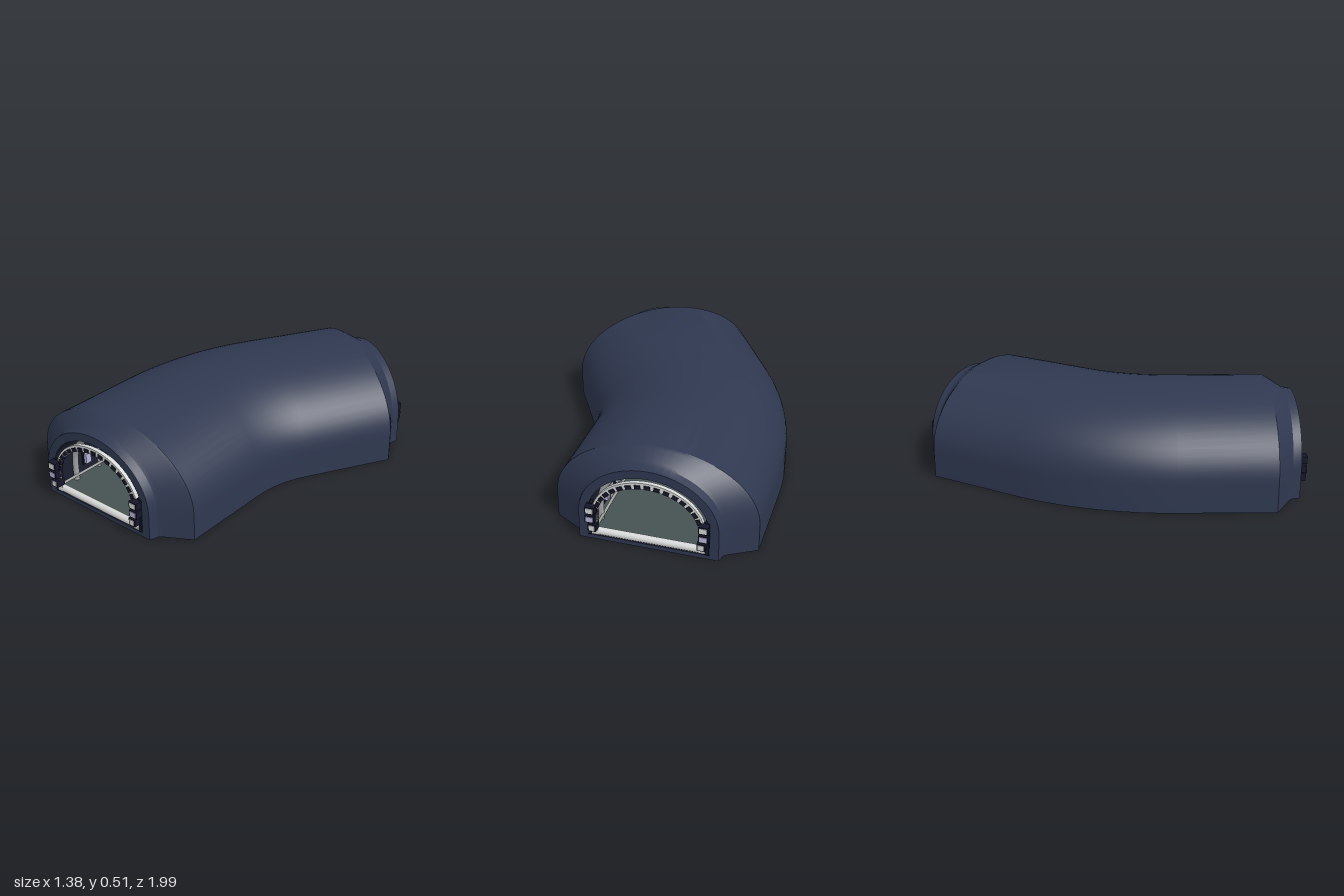
import * as THREE from 'three';
import { toCreasedNormals } from 'three/addons/utils/BufferGeometryUtils.js';

const mat = (name, color, side = THREE.FrontSide) => {
  const m = new THREE.MeshStandardMaterial({ color, side });
  m.name = name;
  return m;
};

// Centre line: straight, 30 degree bend, straight
const STRAIGHT = 0.64, RADIUS = 1.134, TURN = Math.PI / 6;
const BEND = RADIUS * TURN, TOTAL = 2 * STRAIGHT + BEND;
const X0 = -0.167, Z0 = 0.96;

function at(s) {
  const angle = TURN * Math.min(1, Math.max(0, (s - STRAIGHT) / BEND));
  const rest = Math.max(0, s - STRAIGHT - BEND);
  return {
    x: X0 + RADIUS * (1 - Math.cos(angle)) + rest * Math.sin(angle),
    z: Z0 - Math.min(s, STRAIGHT) - RADIUS * Math.sin(angle) - rest * Math.cos(angle),
    angle,
  };
}

const toWorld = (s, u, y) => {
  const p = at(s);
  return new THREE.Vector3(p.x + u * Math.cos(p.angle), y, p.z + u * Math.sin(p.angle));
};

// Arch section: upright sides below an elliptical top, from -x to +x
function arch(half, top, base = 0, spring = 0.15, n = 32) {
  const pts = [new THREE.Vector2(-half, base)];
  for (let i = 0; i <= n; i++) {
    const a = Math.PI * (1 - i / n);
    pts.push(new THREE.Vector2(half * Math.cos(a), spring + (top - spring) * Math.sin(a)));
  }
  pts.push(new THREE.Vector2(half, base));
  return pts;
}

// Skin over cross-sections [distance, points] along the centre line
function sweep(sections, flip = false) {
  const pos = [], idx = [], n = sections[0][1].length;
  sections.forEach(([s, pts], i) => {
    pts.forEach((p, j) => {
      pos.push(...toWorld(s, p.x, p.y).toArray());
      if (i === 0 || j === 0) return;
      const a = (i - 1) * n + j - 1, b = a + 1, c = a + n, d = c + 1;
      if (flip) idx.push(a, c, b, b, c, d);
      else idx.push(a, b, c, b, d, c);
    });
  });
  const g = new THREE.BufferGeometry();
  g.setAttribute('position', new THREE.Float32BufferAttribute(pos, 3));
  g.setIndex(idx);
  return toCreasedNormals(g, 0.45);
}

export function createModel() {
  const model = new THREE.Group();
  model.name = 'curvedTunnel';
  const shellMat = mat('navy shell', 0x2f3850);
  const liningMat = mat('dark lining', 0x1b2030);
  const frameMat = mat('pale frame', 0xd6d9d8);
  const ribMat = mat('grey metal', 0xa2a4a4);
  const blockMat = mat('near black', 0x15172a);
  const panelMat = mat('lavender panel', 0xbab6dc);
  const goldMat = mat('gold ring', 0x8c6a26);
  const floorMat = mat('grey green floor', 0x465252);

  const add = (parent, name, geometry, material, x = 0, y = 0, z = 0) => {
    const m = new THREE.Mesh(geometry, material);
    m.name = name;
    m.position.set(x, y, z);
    parent.add(m);
    return m;
  };

  // Outer shell with stepped, tapered ends
  const taper = [[0, 0.357, 0.45], [0.045, 0.37, 0.457], [0.06, 0.387, 0.467], [0.125, 0.502, 0.504], [0.14, 0.525, 0.51]];
  const stations = [...taper];
  const bendSteps = 24;
  for (let i = 0; i <= bendSteps; i++) stations.push([STRAIGHT + BEND * i / bendSteps, 0.525, 0.51]);
  [...taper].reverse().forEach(([s, w, h]) => stations.push([TOTAL - s, w, h]));
  add(model, 'outerShell', sweep(stations.map(([s, w, h]) => [s, arch(w, h)])), shellMat);

  const flat = (w, y) => [new THREE.Vector2(-w, y), new THREE.Vector2(w, y)];
  add(model, 'underside', sweep(stations.map(([s, w]) => [s, flat(w, 0)]), true), shellMat);

  // Inner lining and floor
  add(model, 'innerLining', sweep(stations.map(([s]) => [s, arch(0.31, 0.405, 0.02)]), true), liningMat);
  add(model, 'floor', sweep(stations.map(([s]) => [s, flat(0.31, 0.04)])), floorMat);

  // Low rails along both walls
  for (const side of [-1, 1]) {
    const pts = stations.map(([s]) => toWorld(s, side * 0.27, 0.07));
    const rail = new THREE.TubeGeometry(new THREE.CatmullRomCurve3(pts), 60, 0.008, 6);
    add(model, 'wallRail', rail, ribMat);
  }

  // Ribs with wall panels and rings between them
  const ribCurve = new THREE.CatmullRomCurve3(arch(0.283, 0.375, 0.04, 0.15, 20).map(p => new THREE.Vector3(p.x, p.y, 0)));
  const thinRib = new THREE.TubeGeometry(ribCurve, 40, 0.009, 8);
  const thickRib = new THREE.TubeGeometry(ribCurve, 40, 0.016, 8);
  const panel = new THREE.BoxGeometry(0.02, 0.055, 0.035);
  const bracket = new THREE.BoxGeometry(0.012, 0.09, 0.045);
  const ring = new THREE.TorusGeometry(0.014, 0.004, 6, 14);
  const ribs = 11, spacing = (TOTAL - 0.24) / (ribs - 1);
  for (let i = 0; i < ribs; i++) {
    const bay = new THREE.Group();
    bay.name = 'ribBay';
    const s = 0.12 + i * spacing, p = at(s);
    bay.position.set(p.x, 0, p.z);
    bay.rotation.y = -p.angle;
    add(bay, 'rib', i % 5 === 0 ? thickRib : thinRib, ribMat);
    for (const side of i < ribs - 1 ? [-1, 1] : []) {
      const z = -spacing / 2;
      add(bay, 'panelBracket', bracket, blockMat, side * 0.293, 0.14, z);
      add(bay, 'wallPanel', panel, panelMat, side * 0.28, 0.133, z);
      add(bay, 'wallRing', ring, goldMat, side * 0.277, 0.18, z);
    }
    model.add(bay);
  }

  // Portal at each end
  const face = new THREE.Shape(arch(0.357, 0.45));
  face.holes.push(new THREE.Path(arch(0.31, 0.405, 0.02)));
  const faceGeo = new THREE.ShapeGeometry(face);
  const band = new THREE.Shape(arch(0.289, 0.383, 0.03));
  band.holes.push(new THREE.Path(arch(0.256, 0.348, 0.031)));
  const bandGeo = new THREE.ExtrudeGeometry(band, { depth: 0.022, bevelEnabled: false });
  const sillGeo = new THREE.CylinderGeometry(0.02, 0.02, 0.57, 12).rotateZ(Math.PI / 2);
  const segment = new THREE.BoxGeometry(0.03, 0.02, 0.02);

  const makePortal = () => {
    const g = new THREE.Group();
    g.name = 'portal';
    add(g, 'portalFace', faceGeo, shellMat);
    add(g, 'portalArch', bandGeo, frameMat, 0, 0, -0.018);
    add(g, 'sill', sillGeo, frameMat, 0, 0.043, -0.014);
    add(g, 'sillBase', new THREE.BoxGeometry(0.61, 0.02, 0.03), blockMat, 0, 0.022, -0.018);

    // Dark blocks spaced around the arch
    const count = 17;
    for (let i = 0; i < count; i++) {
      const a = Math.PI * (0.04 + 0.92 * i / (count - 1));
      const c = Math.cos(a), n = Math.sin(a);
      const block = add(g, 'archBlock', segment, blockMat, 0.268 * c, 0.15 + 0.211 * n, -0.001);
      block.rotation.z = Math.atan2(0.211 * c, -0.268 * n);
    }

    // Three side clamps with pale plates on each jamb
    for (const side of [-1, 1]) {
      add(g, 'jamb', new THREE.BoxGeometry(0.022, 0.19, 0.03), blockMat, side * 0.297, 0.12, -0.012);
      [0.19, 0.14, 0.09].forEach((y, i) => {
        const x = side * (i === 2 ? 0.277 : 0.287), w = i === 2 ? 0.042 : 0.05;
        add(g, 'clamp', new THREE.BoxGeometry(w, 0.04, 0.05), blockMat, x, y, 0.012);
        add(g, 'clampPlate', new THREE.BoxGeometry(w - 0.014, 0.028, 0.004), i === 1 ? panelMat : frameMat, x, y, 0.038);
      });
    }
    return g;
  };

  const front = makePortal();
  front.position.set(X0, 0, Z0);
  const back = makePortal(), end = at(TOTAL);
  back.position.set(end.x, 0, end.z);
  back.rotation.y = Math.PI - end.angle;
  model.add(front, back);
  return model;
}
